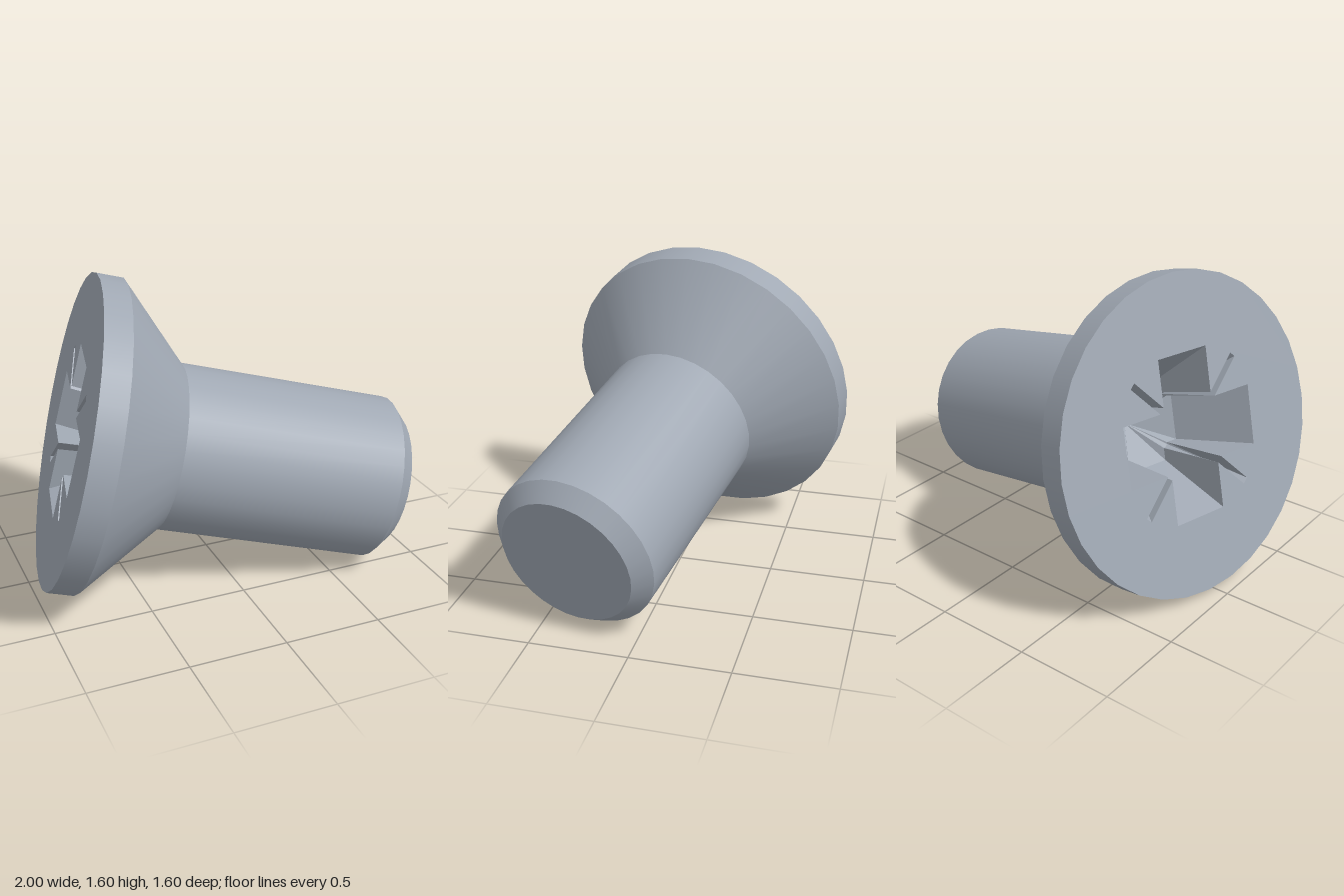
import * as THREE from 'three';

const SIDES = 32;
const HEAD_R = 0.805;

// repeats a quarter outline four times around the axis
function fourfold(quarter) {
  const out = [];
  for (let k = 0; k < 4; k++) {
    const c = [1, 0, -1, 0][k], s = [0, 1, 0, -1][k];
    for (const [x, y] of quarter) out.push(new THREE.Vector2(x * c - y * s, x * s + y * c));
  }
  return out;
}

export function createModel() {
  const steel = new THREE.MeshStandardMaterial({ color: 0xa0a8b3 });
  steel.name = 'steel grey';
  const model = new THREE.Group();
  model.name = 'countersunkScrew';
  const screw = new THREE.Group();
  screw.name = 'screw';
  model.add(screw);

  const add = (name, geometry) => {
    const mesh = new THREE.Mesh(geometry, steel);
    mesh.name = name;
    screw.add(mesh);
  };

  // turned surfaces: [name, radius and depth of the lower ring, then of the upper ring]
  const bands = [
    ['tipCap', 0, 1.7285, 0.352, 1.7285],
    ['tipChamfer', 0.352, 1.7285, 0.431, 1.648],
    ['shaft', 0.431, 1.648, 0.431, 0.511],
    ['headCone', 0.431, 0.511, HEAD_R, 0.137],
    ['headRim', HEAD_R, 0.137, HEAD_R, 0],
  ];
  for (const [name, r0, d0, r1, d1] of bands) {
    const points = [new THREE.Vector2(r0, -d0), new THREE.Vector2(r1, -d1)];
    add(name, new THREE.LatheGeometry(points, SIDES).rotateX(Math.PI / 2));
  }

  // recess outlines: four wide wings with a thin diagonal slit between each pair
  const w = 0.156, R = 0.415, e = 0.025, t = 0.33;
  const top = fourfold([
    [R, -w], [R, w], [w + e, w], [t + e / 2, t - e / 2], [t - e / 2, t + e / 2], [w, w + e],
  ]);
  const bottom = fourfold([
    [0.215, -0.125], [0.215, 0.125], [0.15, 0.125], [0.15, 0.135], [0.135, 0.15], [0.125, 0.15],
  ]);

  // flat head face with the recess cut out
  const disc = [];
  for (let i = 0; i < SIDES; i++) {
    const a = (i / SIDES) * Math.PI * 2;
    disc.push(new THREE.Vector2(HEAD_R * Math.cos(a), HEAD_R * Math.sin(a)));
  }
  const face = new THREE.Shape(disc);
  face.holes.push(new THREE.Path(top));
  add('headFace', new THREE.ShapeGeometry(face));

  // tapering recess walls and conical recess floor
  const walls = [], floor = [];
  const depth = -0.36, apex = [0, 0, -0.5];
  top.forEach((p, i) => {
    const j = (i + 1) % top.length;
    const a = [p.x, p.y, 0], b = [top[j].x, top[j].y, 0];
    const c = [bottom[j].x, bottom[j].y, depth], d = [bottom[i].x, bottom[i].y, depth];
    walls.push(...a, ...b, ...c, ...a, ...c, ...d);
    floor.push(...d, ...c, ...apex);
  });
  for (const [name, data] of [['recessWalls', walls], ['recessFloor', floor]]) {
    const g = new THREE.BufferGeometry();
    g.setAttribute('position', new THREE.Float32BufferAttribute(data, 3));
    g.computeVertexNormals();
    add(name, g);
  }

  // tilt so the head face looks towards -x and the tip leans down and forward
  const out = new THREE.Vector3(-0.9494, 0.2418, -0.2002).normalize();
  const side = new THREE.Vector3(-0.212, -0.024, 0.98);
  const up = new THREE.Vector3().crossVectors(out, side).normalize();
  side.crossVectors(up, out);
  screw.quaternion.setFromRotationMatrix(new THREE.Matrix4().makeBasis(side, up, out));
  screw.position.set(-0.75, 0.818, -0.011);
  return model;
}
